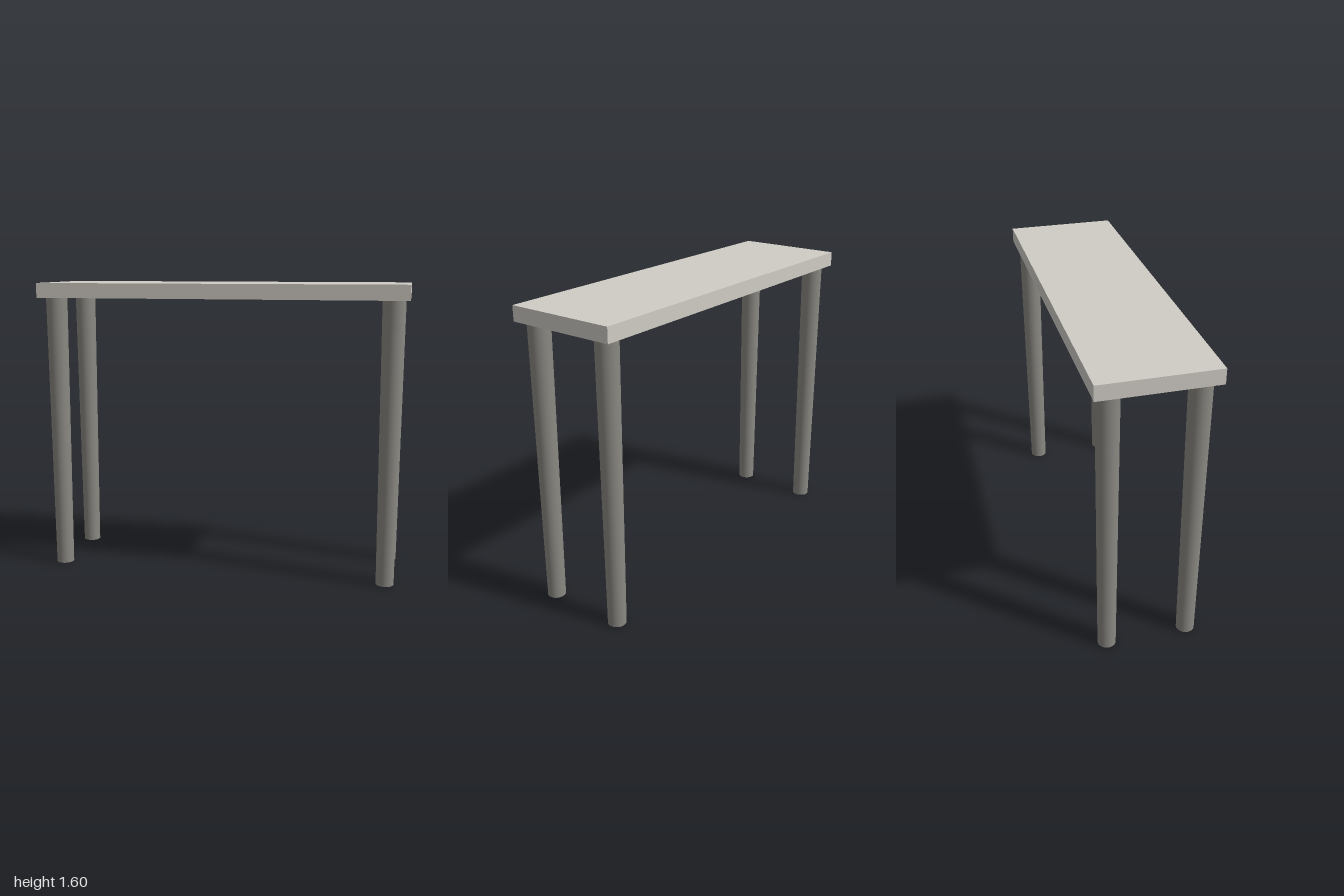
import * as THREE from 'three';

const HEIGHT = 1.6, THICKNESS = 0.08, WIDTH = 2, DEPTH = 0.6;
const LEG_X = 0.917, LEG_Z = 0.217;

export function createModel() {
  const table = new THREE.Group();
  table.name = 'table';

  // Flat slab top
  const top = new THREE.Mesh(
    new THREE.BoxGeometry(WIDTH, THICKNESS, DEPTH),
    new THREE.MeshStandardMaterial({ color: 0xd0ccc5 })
  );
  top.name = 'tableTop';
  top.position.y = HEIGHT - THICKNESS / 2;
  table.add(top);

  // Four round legs, tapering slightly towards the floor
  const legHeight = HEIGHT - THICKNESS;
  const legGeometry = new THREE.CylinderGeometry(0.058, 0.048, legHeight, 32);
  const legMaterial = new THREE.MeshStandardMaterial({ color: 0x8a8882 });
  for (const [endName, z] of [['front', LEG_Z], ['back', -LEG_Z]]) {
    for (const [sideName, x] of [['Left', LEG_X], ['Right', -LEG_X]]) {
      const leg = new THREE.Mesh(legGeometry, legMaterial);
      leg.name = `${endName}${sideName}Leg`;
      leg.position.set(x, legHeight / 2, z);
      table.add(leg);
    }
  }

  return table;
}
